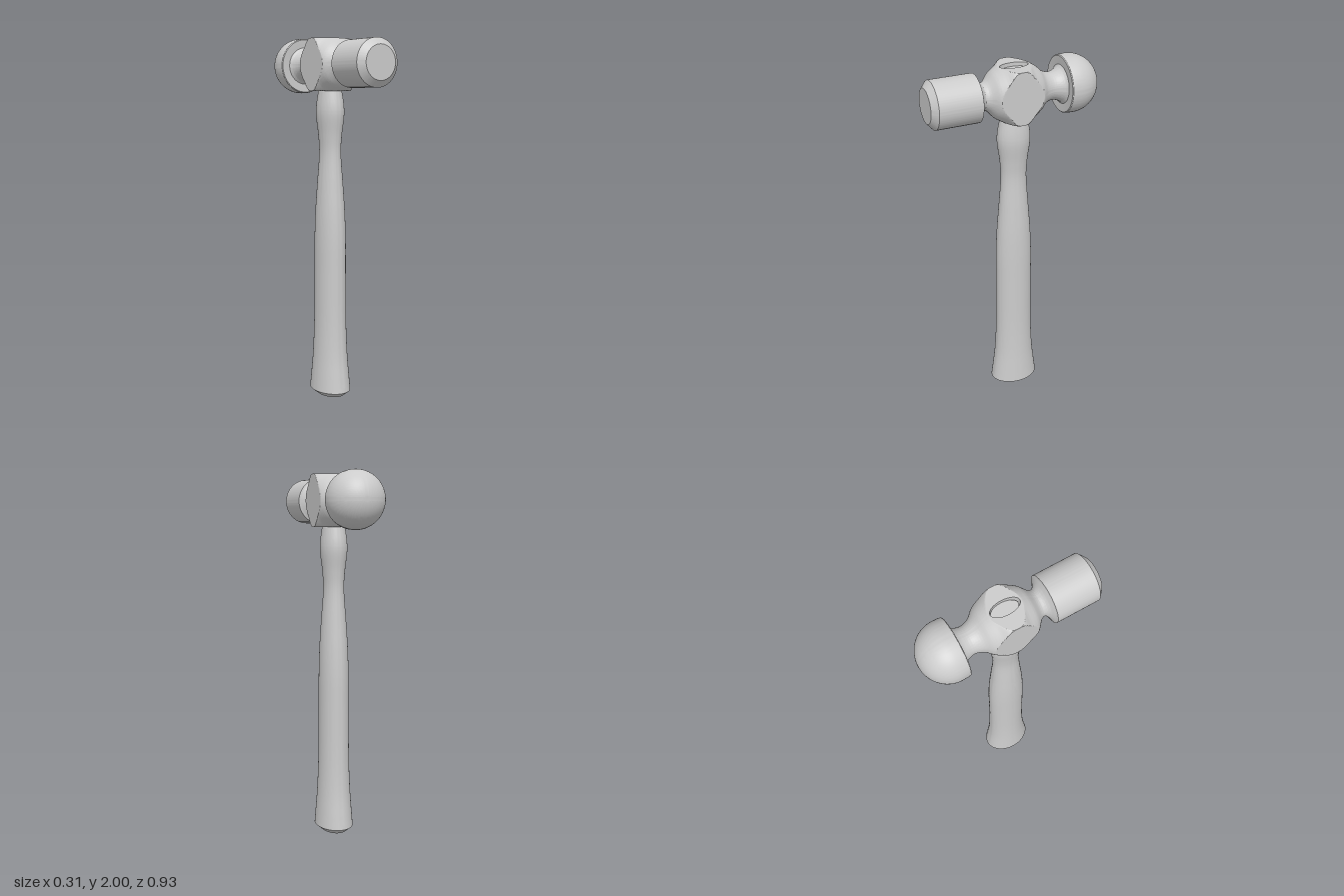
import * as THREE from 'three';
import { toCreasedNormals } from 'three/addons/utils/BufferGeometryUtils.js';

const HEAD_Y = 1.85, HALF_W = 0.12, HALF_H = 0.14, MID_Z = -0.01;
const SEG = 128;

// Skin a list of closed rings; skip(a, b, c) can leave triangles out
function loft(rings, crease, skip = () => false) {
  const n = rings[0].length, index = [], flat = rings.flat();
  const add = (...t) => {
    const [a, b, c] = t.map(i => flat[i]);
    const area = b.clone().sub(a).cross(c.clone().sub(a)).length();
    if (area > 1e-9 && !skip(a, b, c)) index.push(...t);
  };
  for (let i = 0; i < rings.length - 1; i++) {
    for (let j = 0; j < n; j++) {
      const k = (j + 1) % n, a = i * n + j, b = i * n + k;
      add(a, b, a + n);
      add(b, b + n, a + n);
    }
  }
  const g = new THREE.BufferGeometry().setFromPoints(flat);
  g.setIndex(index);
  return toCreasedNormals(g, crease);
}

// Smooth curve through [a, b, c] points
const smooth = (pts, count) => new THREE.CatmullRomCurve3(
  pts.map(p => new THREE.Vector3(p[0], p[1], p[2] || 0)), false, 'centripetal').getPoints(count);

// Round section clipped by the flat cheeks, top and bottom
function headRing(z, r) {
  return Array.from({ length: SEG }, (_, j) => {
    const a = j / SEG * Math.PI * 2;
    const x = THREE.MathUtils.clamp(r * Math.cos(a), -HALF_W, HALF_W);
    const y = THREE.MathUtils.clamp(r * Math.sin(a), -HALF_H, HALF_H);
    return new THREE.Vector3(x, y, z);
  });
}

function roundRing(z, r) {
  return Array.from({ length: SEG }, (_, j) => {
    const a = j / SEG * Math.PI * 2;
    return new THREE.Vector3(r * Math.cos(a), r * Math.sin(a), z);
  });
}

export function createModel() {
  const model = new THREE.Group();
  const head = new THREE.Group();
  head.name = 'head';
  head.position.y = HEAD_Y;
  model.add(head);
  const mat = new THREE.MeshStandardMaterial({ color: 0xcccccc });
  const open = new THREE.MeshStandardMaterial({ color: 0xcccccc, side: THREE.DoubleSide });
  const add = (parent, name, geometry, material = mat) => {
    const mesh = new THREE.Mesh(geometry, material);
    mesh.name = name;
    parent.add(mesh);
  };

  // Domed peen with a small rounded lip
  const peen = [];
  for (let i = 0; i <= 24; i++) {
    const a = i / 24 * Math.PI / 2;
    peen.push(roundRing(-0.318 - 0.15 * Math.cos(a), 0.153 * Math.sin(a)));
  }
  [[-0.285, 0.152], [-0.274, 0.15], [-0.27, 0.146], [-0.272, 0.105], [-0.275, 0.08]]
    .forEach(([z, r]) => peen.push(roundRing(z, r)));
  add(head, 'ballPeen', loft(peen, 0.6));

  // Waisted middle with flat cheeks
  const profile = smooth([[-0.275, 0.105], [-0.262, 0.09], [-0.235, 0.077], [-0.205, 0.073], [-0.165, 0.087],
    [-0.13, 0.118], [-0.11, 0.132], [-0.085, 0.148], [-0.05, 0.175], [MID_Z, 0.192], [0.03, 0.175],
    [0.063, 0.148], [0.088, 0.132], [0.108, 0.118], [0.148, 0.076], [0.168, 0.07], [0.185, 0.085],
    [0.202, 0.119]], 120);
  const rings = profile.map(p => headRing(p.x, p.y));
  const onTop = p => p.y > HALF_H - 1e-5;
  add(head, 'waistedBody', loft(rings, 0.5, (a, b, c) => onTop(a) && onTop(b) && onTop(c)));

  // Flat top pierced by the oval eye
  const edge = rings.filter(r => r.some(onTop))
    .map(r => [Math.max(...r.filter(onTop).map(p => p.x)), -r[0].z])
    .filter(([x]) => x > 1e-4);
  const top = new THREE.Shape([...edge, ...edge.slice().reverse().map(([x, y]) => [-x, y])]
    .map(([x, y]) => new THREE.Vector2(x, y)));
  const eye = new THREE.Path().absellipse(0, -MID_Z, 0.038, 0.077, 0, Math.PI * 2);
  top.holes.push(eye);
  add(head, 'eyeTop', new THREE.ShapeGeometry(top, 32).rotateX(-Math.PI / 2).translate(0, HALF_H, 0), open);
  const wall = new THREE.CylinderGeometry(1, 1, 0.05, 64, 1, true);
  wall.scale(0.038, 1, 0.077).translate(0, HALF_H - 0.025, MID_Z);
  add(head, 'eyeWall', wall, open);

  // Striking face with a chamfered rim
  const poll = [[0.205, 0], [0.2, 0.118], [0.203, 0.125], [0.434, 0.125], [0.465, 0.09], [0.465, 0]];
  add(head, 'strikingFace', loft(poll.map(([z, r]) => roundRing(z, r)), 0.5));

  // Oval handle: height, half width, half depth
  const oval = (y, rx, rz) => Array.from({ length: 64 }, (_, j) => {
    const a = j / 64 * Math.PI * 2;
    return new THREE.Vector3(rx * Math.cos(a), y, MID_Z + 0.002 - rz * Math.sin(a));
  });
  const grip = smooth([[0.03, 0.104, 0.138], [0.1, 0.099, 0.129], [0.22, 0.091, 0.115], [0.4, 0.084, 0.106],
    [0.7, 0.081, 0.103], [0.9, 0.08, 0.102], [1.05, 0.076, 0.095], [1.2, 0.067, 0.083],
    [1.38, 0.055, 0.071], [1.47, 0.06, 0.076], [1.58, 0.072, 0.09], [1.63, 0.071, 0.088],
    [1.72, 0.06, 0.07]], 80);
  add(model, 'handle', loft([oval(0, 0, 0), oval(0, 0.068, 0.1),
    ...grip.map(p => oval(p.x, p.y, p.z)), oval(1.73, 0, 0)], 0.5));

  // End of the handle seated in the eye
  const plug = new THREE.CylinderGeometry(1, 1, 0.26, 48);
  plug.scale(0.037, 1, 0.071).translate(0, 1.84, MID_Z - 0.002);
  add(model, 'handleTenon', plug);
  return model;
}
